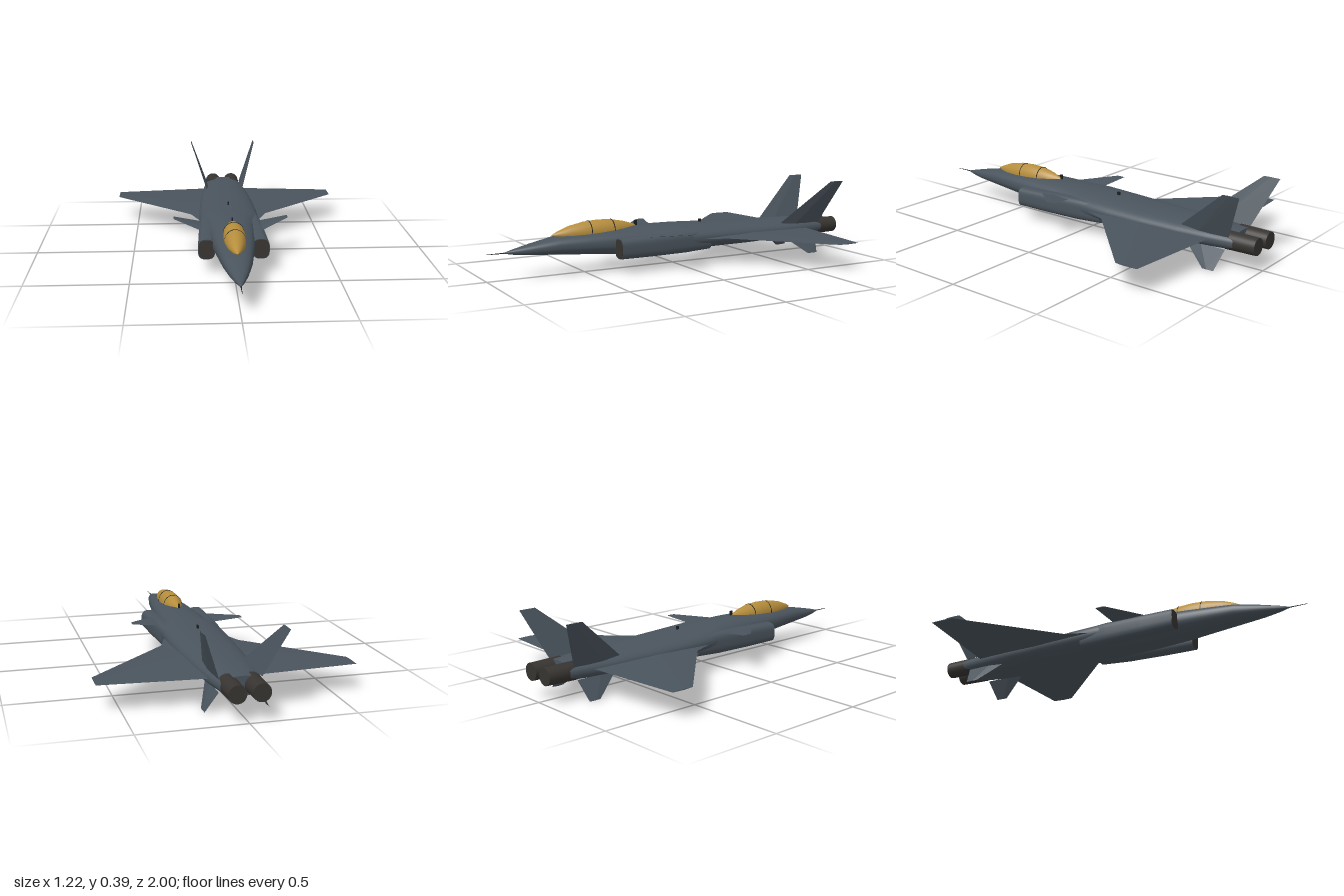
import * as THREE from 'three';
import { ConvexGeometry } from 'three/addons/geometries/ConvexGeometry.js';

const mat = (name, color, extra = {}) => {
  const m = new THREE.MeshStandardMaterial({ color, ...extra });
  m.name = name;
  return m;
};

// Loft of superellipse sections running from the front (+z) to the rear, with flat caps.
// section: [z, centreX, halfWidth, bottomY, topY]
function loft(sections, power = 2, n = 40) {
  const pos = [], idx = [];
  const bend = (v) => Math.sign(v) * Math.pow(Math.abs(v), 2 / power);
  const ring = ([z, cx, w, y0, y1]) => {
    const start = pos.length / 3;
    for (let j = 0; j < n; j++) {
      const a = (j / n) * Math.PI * 2;
      pos.push(cx + w * bend(Math.cos(a)), (y0 + y1) / 2 + ((y1 - y0) / 2) * bend(Math.sin(a)), z);
    }
    return start;
  };
  const starts = sections.map(ring);
  for (let i = 0; i + 1 < starts.length; i++) {
    for (let j = 0; j < n; j++) {
      const k = (j + 1) % n;
      const a = starts[i] + j, b = starts[i] + k, c = starts[i + 1] + j, d = starts[i + 1] + k;
      idx.push(a, c, b, b, c, d);
    }
  }
  const cap = (s, front) => {
    const r = ring(s), centre = pos.length / 3;
    pos.push(s[1], (s[3] + s[4]) / 2, s[0]);
    for (let j = 0; j < n; j++) {
      const k = (j + 1) % n;
      if (front) idx.push(centre, r + j, r + k);
      else idx.push(centre, r + k, r + j);
    }
  };
  cap(sections[0], true);
  cap(sections[sections.length - 1], false);
  const g = new THREE.BufferGeometry();
  g.setAttribute('position', new THREE.Float32BufferAttribute(pos, 3));
  g.setIndex(idx);
  g.computeVertexNormals();
  return g;
}

// Thin diamond-section flying surface between a root chord and a tip chord.
function panel(side, corners, rootT, tipT) {
  const [rl, rt, tl, tt] = corners.map(([x, y, z]) => new THREE.Vector3(x * side, y, z));
  const normal = rt.clone().sub(rl).cross(tl.clone().sub(rl)).normalize();
  const pts = [rl, rt, tl, tt];
  for (const [le, te, t] of [[rl, rt, rootT], [tl, tt, tipT]]) {
    const mid = le.clone().lerp(te, 0.4);
    pts.push(mid.clone().addScaledVector(normal, t / 2), mid.clone().addScaledVector(normal, -t / 2));
  }
  return new ConvexGeometry(pts);
}

export function createModel() {
  const grey = mat('airframe grey', 0x4a545d);
  const gold = mat('canopy gold', 0xb58d3c);
  const dark = mat('engine dark grey', 0x373431);
  const black = mat('detail black', 0x1c1e20);

  const model = new THREE.Group();
  model.name = 'jetAircraft';
  const add = (name, geometry, material) => {
    const m = new THREE.Mesh(geometry, material);
    m.name = name;
    model.add(m);
    return m;
  };

  // Fuselage
  add('fuselage', loft([
    [0.915, 0.002, 0.128, 0.132],
    [0.86, 0.02, 0.118, 0.146],
    [0.78, 0.043, 0.11, 0.164],
    [0.65, 0.07, 0.102, 0.19],
    [0.5, 0.088, 0.09, 0.2],
    [0.37, 0.103, 0.079, 0.207],
    [0.2, 0.115, 0.07, 0.212],
    [0.06, 0.128, 0.069, 0.209],
    [-0.02, 0.156, 0.07, 0.206],
    [-0.2, 0.155, 0.072, 0.198],
    [-0.4, 0.148, 0.073, 0.191],
    [-0.6, 0.135, 0.075, 0.186],
    [-0.75, 0.12, 0.078, 0.182],
    [-0.89, 0.1, 0.086, 0.177],
  ].map(([z, w, y0, y1]) => [z, 0, w, y0, y1]), 2.3, 56), grey);

  // Nose probe
  const probe = add('noseProbe', new THREE.CylinderGeometry(0.001, 0.003, 0.1, 8), black);
  probe.rotation.x = Math.PI / 2;
  probe.position.set(0, 0.13, 0.95);

  // Canopy and its frame hoops
  const canopy = [
    [0.67, 0.002, 0.196],
    [0.64, 0.019, 0.211],
    [0.58, 0.038, 0.234],
    [0.5, 0.05, 0.25],
    [0.42, 0.053, 0.255],
    [0.35, 0.051, 0.251],
    [0.28, 0.035, 0.237],
    [0.21, 0.004, 0.214],
  ].map(([z, w, top]) => [z, 0, w, 0.39 - top, top]);
  add('canopy', loft(canopy), gold);
  for (const [z, w, top] of [[0.477, 0.0515, 0.253], [0.354, 0.0525, 0.2528]]) {
    const hoop = [z, 0, w, 0.39 - top, top];
    add('canopyFrame', loft([hoop, [z - 0.004, ...hoop.slice(1)]]), black);
  }

  // Small dorsal blades
  for (const [z, y, h] of [[0.215, 0.221, 0.028], [-0.165, 0.205, 0.02]]) {
    const blade = add('dorsalBlade', new THREE.BoxGeometry(0.008, h, 0.014), black);
    blade.position.set(0, y, z);
  }

  for (const s of [1, -1]) {
    // Air intake duct and dark mouth
    add('intake', loft([
      [0.37, s * 0.132, 0.042, 0.072, 0.172],
      [0.2, s * 0.126, 0.042, 0.07, 0.176],
      [0.0, s * 0.115, 0.044, 0.07, 0.182],
      [-0.15, s * 0.1, 0.045, 0.075, 0.178],
    ], 3), grey);
    add('intakeMouth', loft([
      [0.373, s * 0.132, 0.039, 0.075, 0.169],
      [0.368, s * 0.132, 0.039, 0.075, 0.169],
    ], 3), dark);

    // Main wing and root extension
    add('wing', panel(s, [[0.1, 0.136, -0.112], [0.1, 0.136, -0.772], [0.61, 0.132, -0.61], [0.61, 0.132, -0.725]], 0.018, 0.004), grey);
    add('wingRootExtension', panel(s, [[0.13, 0.136, -0.02], [0.13, 0.136, -0.6], [0.2, 0.135, -0.21], [0.2, 0.135, -0.6]], 0.012, 0.008), grey);

    // Foreplane
    add('foreplane', panel(s, [[0.11, 0.165, 0.265], [0.11, 0.165, 0.05], [0.293, 0.19, 0.065], [0.293, 0.19, 0.018]], 0.01, 0.003), grey);

    // Canted tail fin and ventral fin
    add('tailFin', panel(s, [[0.098, 0.16, -0.6], [0.098, 0.16, -0.87], [0.188, 0.39, -0.88], [0.188, 0.39, -0.965]], 0.014, 0.004), grey);
    add('ventralFin', panel(s, [[0.094, 0.095, -0.635], [0.094, 0.095, -0.85], [0.15, 0, -0.765], [0.15, 0, -0.825]], 0.01, 0.004), grey);

    // Engine nozzle
    const nozzle = add('engineNozzle', new THREE.CylinderGeometry(0.045, 0.042, 0.16, 32), dark);
    nozzle.rotation.x = Math.PI / 2;
    nozzle.position.set(s * 0.055, 0.132, -0.92);
  }
  return model;
}
